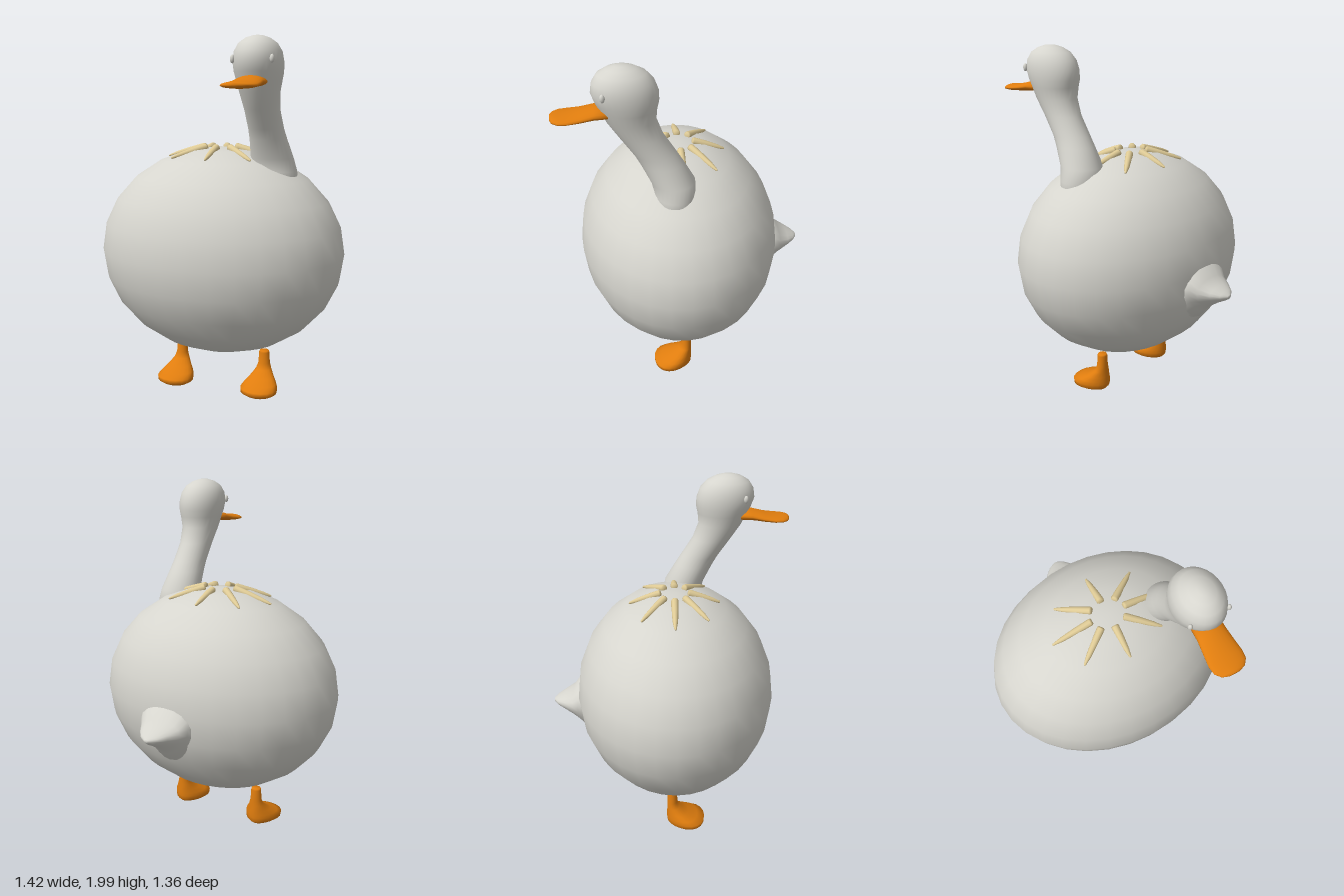
import * as THREE from 'three';

const mat = (name, color) => {
  const m = new THREE.MeshStandardMaterial({ color });
  m.name = name;
  return m;
};

// Smooth closed skin over n-sided rings; point(section, cos, sin) gives [x, y, z].
function loft(sections, n, point) {
  const pos = [], idx = [];
  const rings = sections.map((s) => Array.from({ length: n }, (_, j) => {
    const a = (j / n) * Math.PI * 2;
    return point(s, Math.cos(a), Math.sin(a));
  }));
  rings.forEach((r) => r.forEach((p) => pos.push(...p)));
  for (let i = 0; i < rings.length - 1; i++) {
    for (let j = 0; j < n; j++) {
      const k = (j + 1) % n, a = i * n + j, b = i * n + k;
      idx.push(a, a + n, b, b, a + n, b + n);
    }
  }
  const last = (rings.length - 1) * n;
  for (const [ring, off, flip] of [[rings[0], 0, false], [rings[rings.length - 1], last, true]]) {
    const c = pos.length / 3;
    pos.push(...[0, 1, 2].map((d) => ring.reduce((t, p) => t + p[d], 0) / n));
    for (let j = 0; j < n; j++) {
      const k = (j + 1) % n;
      if (flip) idx.push(c, off + k, off + j);
      else idx.push(c, off + j, off + k);
    }
  }
  const g = new THREE.BufferGeometry();
  g.setAttribute('position', new THREE.Float32BufferAttribute(pos, 3));
  g.setIndex(idx);
  g.computeVertexNormals();
  return g;
}

export function createModel() {
  const group = new THREE.Group();
  const plumage = mat('plumage grey', 0xd6d5ce);
  const orange = mat('bill orange', 0xe07d0e);
  const straw = mat('straw', 0xdfcb96);
  const add = (name, geo, material, parent = group) => {
    const m = new THREE.Mesh(geo, material);
    m.name = name;
    parent.add(m);
    return m;
  };

  // Round body
  const C = new THREE.Vector3(0, 0.825, 0.035), R = new THREE.Vector3(0.71, 0.595, 0.567);
  const body = add('body', new THREE.SphereGeometry(1, 32, 12), plumage);
  body.position.copy(C);
  body.scale.copy(R);

  // Neck and head: y, centre x, centre z, radius x, radius z
  add('neckAndHead', loft([
    [1.15, 0.33, 0.085, 0.135, 0.115],
    [1.3, 0.325, 0.082, 0.128, 0.108],
    [1.37, 0.318, 0.093, 0.117, 0.113],
    [1.475, 0.312, 0.148, 0.1, 0.108],
    [1.53, 0.309, 0.18, 0.094, 0.106],
    [1.63, 0.308, 0.246, 0.092, 0.109],
    [1.72, 0.308, 0.292, 0.103, 0.122],
    [1.78, 0.308, 0.302, 0.116, 0.138],
    [1.82, 0.308, 0.308, 0.124, 0.154],
    [1.87, 0.308, 0.318, 0.127, 0.162],
    [1.92, 0.308, 0.323, 0.119, 0.149],
    [1.96, 0.308, 0.328, 0.096, 0.118],
    [1.985, 0.308, 0.331, 0.061, 0.073],
    [1.997, 0.308, 0.332, 0.025, 0.03],
  ], 28, ([y, cx, cz, rx, rz], c, s) => [cx + rx * c, y, cz + rz * s]), plumage);

  // Eyes
  for (const side of [-1, 1]) {
    const eye = add(side > 0 ? 'leftEye' : 'rightEye', new THREE.SphereGeometry(1, 12, 8), plumage);
    eye.position.set(0.308 + side * 0.102, 1.88, 0.424);
    eye.scale.set(0.012, 0.021, 0.013);
  }

  // Flat bill: z, centre y, half width, half height
  add('bill', loft([
    [0.4, 1.775, 0.074, 0.03],
    [0.47, 1.771, 0.075, 0.028],
    [0.54, 1.759, 0.083, 0.022],
    [0.6, 1.753, 0.09, 0.019],
    [0.64, 1.752, 0.085, 0.017],
    [0.668, 1.752, 0.062, 0.015],
    [0.68, 1.752, 0.03, 0.01],
  ], 20, ([z, cy, rx, ry], c, s) => [0.308 + rx * c * (1 + 0.12 * s), cy - ry * s, z]), orange);

  // Pointed tail, narrower below: z, top y, bottom y, half width
  add('tail', loft([
    [-0.44, 0.88, 0.53, 0.16],
    [-0.49, 0.875, 0.555, 0.16],
    [-0.53, 0.862, 0.605, 0.148],
    [-0.565, 0.81, 0.64, 0.122],
    [-0.62, 0.777, 0.68, 0.087],
    [-0.66, 0.755, 0.702, 0.052],
    [-0.683, 0.74, 0.718, 0.015],
  ], 20, ([z, t, b, rx], c, s) => [
    rx * c * (1 + 0.3 * s), (t + b) / 2 + ((t - b) / 2) * s, z,
  ]), plumage);

  // Legs with webbed feet: y, centre z, radius x, radius z
  const footGeo = loft([
    [0.005, 0.097, 0.08, 0.095],
    [0.02, 0.1, 0.102, 0.112],
    [0.045, 0.1, 0.105, 0.114],
    [0.065, 0.078, 0.092, 0.092],
    [0.09, 0.05, 0.07, 0.064],
    [0.125, 0.026, 0.046, 0.038],
    [0.16, 0.018, 0.034, 0.03],
    [0.225, 0.018, 0.03, 0.028],
    [0.235, 0.018, 0.026, 0.024],
  ], 20, ([y, cz, rx, rz], c, s) => {
    const splay = y < 0.12 ? 0.22 * s : 0;
    return [rx * c * (1 + splay), y, cz + rz * s];
  });
  for (const side of [-1, 1]) {
    add(side > 0 ? 'leftFoot' : 'rightFoot', footGeo, orange).position.x = side * 0.262;
  }

  // Ring of tapered straws lying on the back
  const straws = new THREE.Group();
  straws.name = 'strawRing';
  group.add(straws);
  const onBack = (x, z) => new THREE.Vector3(x, C.y + 0.004
    + R.y * Math.sqrt(1 - (x / R.x) ** 2 - ((z - C.z) / R.z) ** 2), z);
  for (let i = 0; i < 8; i++) {
    const a = (i / 8) * Math.PI * 2, c = Math.cos(a), s = Math.sin(a);
    const from = onBack(0.093 * c, 0.03 + 0.075 * s);
    const to = onBack(0.33 * c, 0.03 + 0.255 * s);
    const dir = to.clone().sub(from), len = dir.length();
    const profile = [[0, 0], [0.016, 0], [0.021, 0.04], [0.019, 0.4], [0.014, 0.75], [0.006, 0.98], [0, 1]]
      .map(([r, t]) => new THREE.Vector2(r, t * len));
    const m = add('straw', new THREE.LatheGeometry(profile, 10), straw, straws);
    m.position.copy(from);
    m.quaternion.setFromUnitVectors(new THREE.Vector3(0, 1, 0), dir.normalize());
  }

  return group;
}
